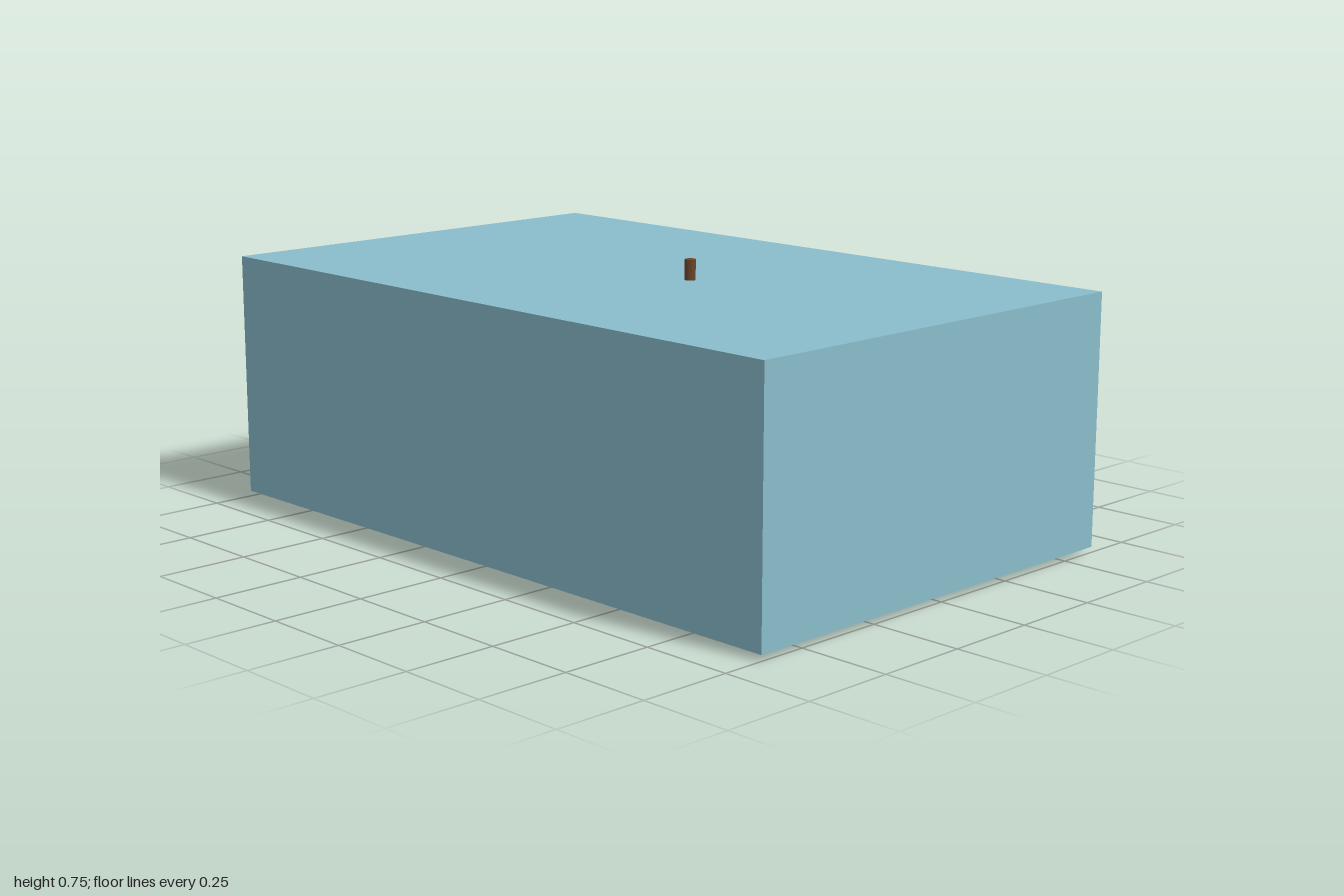
import * as THREE from 'three';

export function createModel() {
  const model = new THREE.Group();
  model.name = 'room';
  const mat = (name, color) => {
    const m = new THREE.MeshStandardMaterial({ color });
    m.name = name;
    return m;
  };
  const blue = mat('paleBlue', 0x8abdcc);
  const brown = mat('woodBrown', 0x6b4529);
  const red = mat('darkRed', 0x3d0c11);

  const add = (name, geometry, material, parent = model) => {
    const mesh = new THREE.Mesh(geometry, material);
    mesh.name = name;
    parent.add(mesh);
    return mesh;
  };
  // Box given by its minimum and maximum corners
  const box = (name, material, [x0, y0, z0], [x1, y1, z1], parent = model) => {
    const g = new THREE.BoxGeometry(x1 - x0, y1 - y0, z1 - z0);
    g.translate((x0 + x1) / 2, (y0 + y1) / 2, (z0 + z1) / 2);
    return add(name, g, material, parent);
  };
  const rect = (Type, x0, y0, x1, y1) => {
    const p = new Type();
    p.moveTo(x0, y0);
    p.lineTo(x1, y0);
    p.lineTo(x1, y1);
    p.lineTo(x0, y1);
    p.closePath();
    return p;
  };
  // Extrude a (-z, y) outline along +x
  const sidePanel = (name, shape, material, x, depth) => {
    const g = new THREE.ExtrudeGeometry(shape, { depth, bevelEnabled: false });
    g.rotateY(Math.PI / 2);
    g.translate(x, 0, 0);
    return add(name, g, material);
  };

  // Shell
  box('roof', blue, [-0.635, 0.68, -1], [0.615, 0.69, 1]);
  box('frontWall', blue, [-0.635, 0.015, 0.99], [0.615, 0.68, 1]);
  box('rightWall', blue, [-0.635, 0.015, -1], [-0.625, 0.68, 0.99]);
  box('backWall', blue, [-0.625, 0.07, -1], [0.605, 0.68, -0.99]);
  box('floor', red, [-0.622, 0.012, -0.982], [0.592, 0.02, 0.987]);

  // Window wall with three framed openings
  const wall = rect(THREE.Shape, -0.99, 0.07, 1, 0.68);
  const y0 = 0.21, y1 = 0.46, t = 0.018;
  for (const [a, b] of [[-0.82, -0.392], [-0.36, 0.068], [0.105, 0.528]]) {
    wall.holes.push(rect(THREE.Path, a, y0, b, y1));
    const frame = rect(THREE.Shape, a, y0, b, y1);
    frame.holes.push(rect(THREE.Path, a + t, y0 + t, b - t, y1 - t));
    sidePanel('windowFrame', frame, brown, 0.603, 0.028);
  }
  sidePanel('windowWall', wall, blue, 0.605, 0.01);

  // Baseboards
  box('leftBaseboard', brown, [0.592, 0.012, -0.985], [0.612, 0.07, 0.99]);
  box('backBaseboard', brown, [-0.625, 0.012, -0.997], [0.6, 0.07, -0.982]);
  box('rightBaseboard', brown, [-0.625, 0.02, -0.98], [-0.615, 0.07, 0.98]);
  box('frontBaseboard', brown, [-0.615, 0.02, 0.98], [0.59, 0.07, 0.99]);
  box('threshold', brown, [0.592, 0, -0.87], [0.613, 0.07, -0.63]);

  // Panel on the back wall
  box('backPanel', brown, [-0.33, 0.19, -1.003], [0.28, 0.51, -0.998]);

  // Ceiling fan with its rod coming through the roof
  const fan = new THREE.Group();
  fan.name = 'ceilingFan';
  fan.position.set(-0.013, 0, 0.145);
  model.add(fan);
  add('fanRod', new THREE.CylinderGeometry(0.015, 0.015, 0.165, 12), brown, fan).position.y = 0.6625;
  add('fanHub', new THREE.CylinderGeometry(0.04, 0.04, 0.04, 16), brown, fan).position.y = 0.58;
  for (let i = 0; i < 4; i++) {
    const blade = box('fanBlade', brown, [0.03, 0.575, -0.03], [0.27, 0.583, 0.03], fan);
    blade.rotation.y = i * Math.PI / 2;
  }

  // Low bed with a thin rim and foot block reaching just under the floor
  box('bedFoot', brown, [-0.535, 0.009, -0.59], [-0.36, 0.1, -0.33]);
  box('bedSideRail', brown, [-0.515, 0.009, -0.345], [0.06, 0.08, -0.335]);
  box('bedEndRail', brown, [0.015, 0.009, -0.57], [0.025, 0.08, -0.335]);
  box('mattress', blue, [-0.53, 0.07, -0.58], [0.015, 0.13, -0.345]);
  box('bedPost', brown, [-0.535, 0.1, -0.42], [-0.52, 0.225, -0.405]);

  // Table and chairs
  const legs = (name, x, z, dx, dz, h, r) => {
    for (const sx of [-1, 1]) for (const sz of [-1, 1]) {
      box(name, blue, [x + sx * dx - r, 0.02, z + sz * dz - r], [x + sx * dx + r, h, z + sz * dz + r]);
    }
  };
  box('tableTop', blue, [0.2, 0.15, -0.22], [0.48, 0.165, 0.2]);
  legs('tableLeg', 0.34, -0.01, 0.12, 0.19, 0.15, 0.009);
  for (const [x, z] of [[0.2, 0.3], [0.45, 0.3], [0.1, 0.05], [0.1, -0.12]]) {
    box('chairSeat', blue, [x - 0.055, 0.095, z - 0.055], [x + 0.055, 0.107, z + 0.055]);
    legs('chairLeg', x, z, 0.047, 0.047, 0.095, 0.007);
    const atEnd = z > 0.2;
    for (const s of [-1, 1]) {
      const px = atEnd ? x + s * 0.047 : x - 0.047;
      const pz = atEnd ? z + 0.047 : z + s * 0.047;
      box('chairPost', blue, [px - 0.007, 0.107, pz - 0.007], [px + 0.007, 0.205, pz + 0.007]);
    }
    if (atEnd) box('chairBack', blue, [x - 0.04, 0.165, z + 0.042], [x + 0.04, 0.2, z + 0.052]);
    else box('chairBack', blue, [x - 0.052, 0.165, z - 0.04], [x - 0.042, 0.2, z + 0.04]);
  }
  return model;
}
